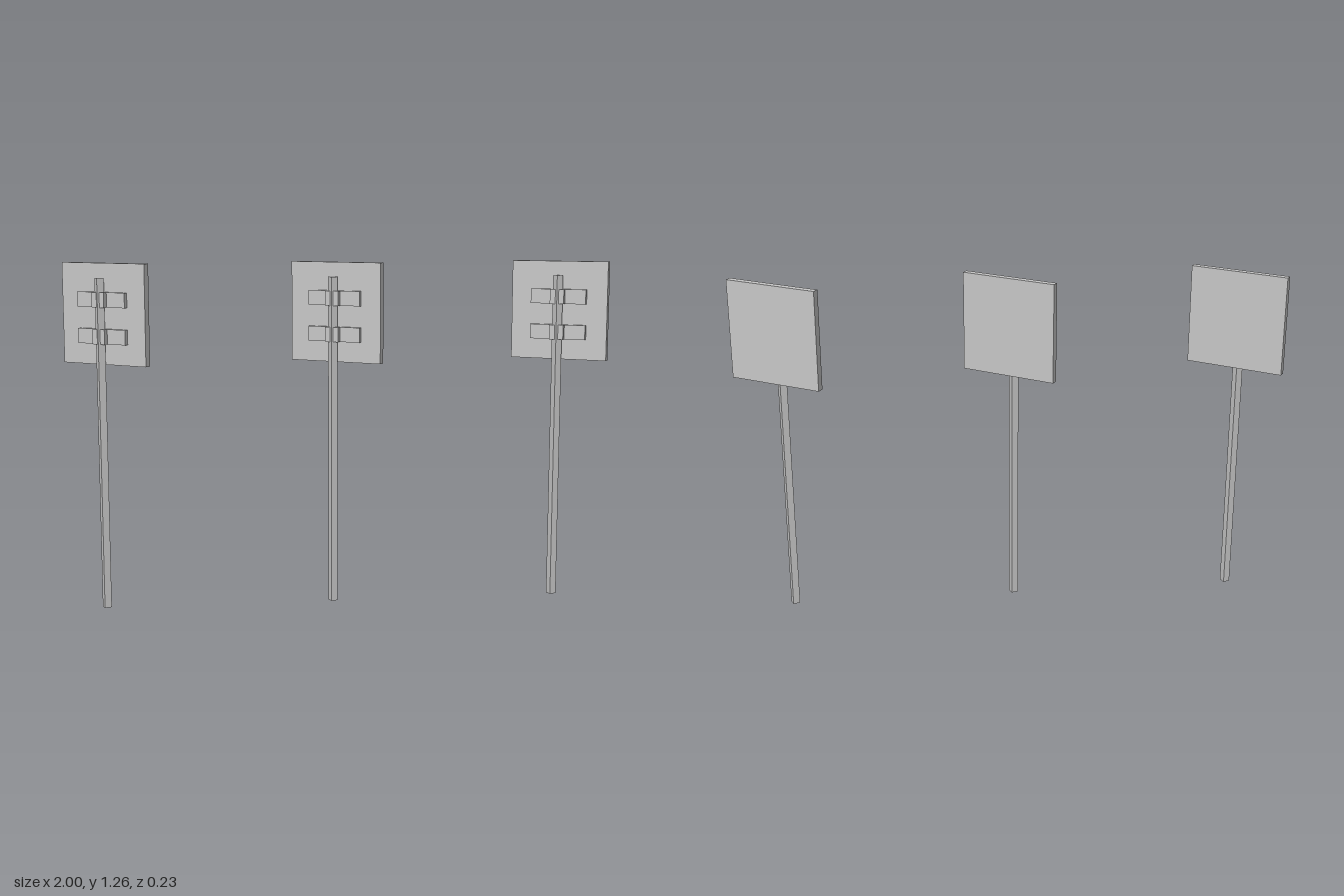
import * as THREE from 'three';

const rad = THREE.MathUtils.degToRad;

export function createModel() {
  const steel = new THREE.MeshStandardMaterial({ color: 0xc8c8c8 });
  steel.name = 'light grey steel';

  function box(name, parent, w, h, d, x, y, z) {
    const mesh = new THREE.Mesh(new THREE.BoxGeometry(w, h, d), steel);
    mesh.name = name;
    mesh.position.set(x, y, z);
    parent.add(mesh);
    return mesh;
  }

  // One sign: square post, turned panel and two clamps holding it
  function makeSign(x, z, panelAngle) {
    const sign = new THREE.Group();
    sign.name = 'signPost';
    sign.position.set(x, 0, z);

    const post = box('post', sign, 0.026, 1.21, 0.026, 0, 0.605, 0);
    post.rotation.y = rad(20);

    // Panel frame: its local z points from the panel towards the post
    const head = new THREE.Group();
    head.name = 'signHead';
    head.rotation.y = rad(-panelAngle);
    sign.add(head);
    const offset = -0.0325;
    box('panel', head, 0.365, 0.365, 0.025, 0, 1.08, offset);

    for (const y of [1.0, 1.132]) {
      box('bracketStrip', head, 0.21, 0.054, 0.016, 0, y, offset + 0.0195);
      box('postClamp', head, 0.053, 0.054, 0.026, 0, y, offset + 0.0315);
    }
    return sign;
  }

  const model = new THREE.Group();
  model.name = 'signRow';
  model.add(
    makeSign(-0.861, 0.027, 35),
    makeSign(-0.021, 0.027, 34),
    makeSign(0.819, 0.024, 31.5)
  );
  return model;
}
